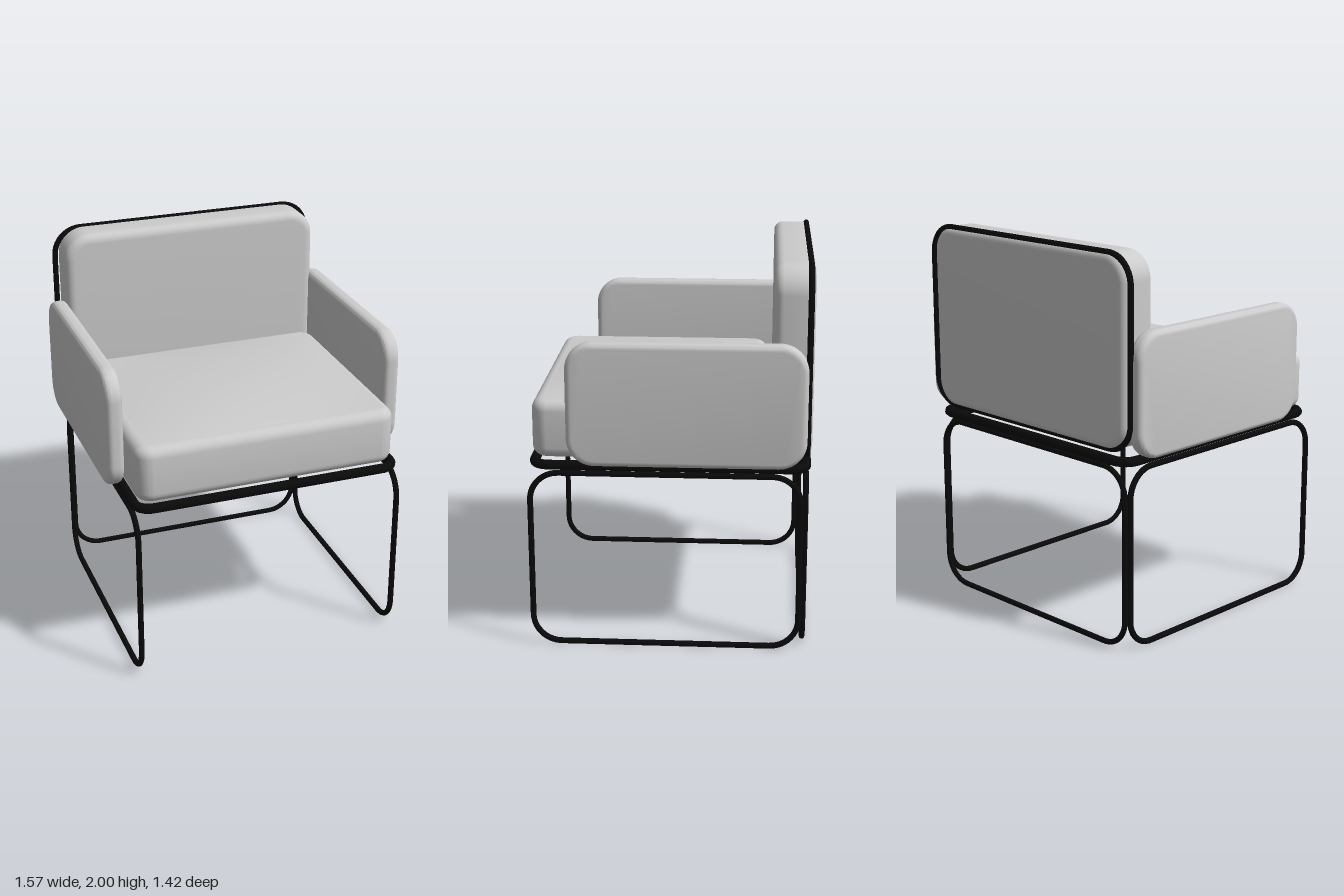
import * as THREE from 'three';
import { toCreasedNormals } from 'three/addons/utils/BufferGeometryUtils.js';

const fabric = new THREE.MeshStandardMaterial({ color: 0xcccccc });
const metal = new THREE.MeshStandardMaterial({ color: 0x0a0a0a });

// Rounded rectangle centred on the origin, w and h being full sizes
function roundedRect(w, h, r) {
  const x = w / 2 - r, y = h / 2 - r, q = Math.PI / 2;
  const s = new THREE.Shape();
  s.absarc(x, y, r, 0, q);
  s.absarc(-x, y, r, q, 2 * q);
  s.absarc(-x, -y, r, 2 * q, 3 * q);
  s.absarc(x, -y, r, 3 * q, 4 * q);
  s.closePath();
  return s;
}

// Padded slab with soft edges, centred, thickness along z
function cushion(name, w, h, depth, radius, bevel) {
  const geo = new THREE.ExtrudeGeometry(roundedRect(w - 2 * bevel, h - 2 * bevel, radius - bevel), {
    depth: depth - 2 * bevel, curveSegments: 8, bevelEnabled: true,
    bevelSize: bevel, bevelThickness: bevel, bevelSegments: 6,
  });
  geo.translate(0, 0, bevel - depth / 2);
  const mesh = new THREE.Mesh(toCreasedNormals(geo, 0.6), fabric);
  mesh.name = name;
  return mesh;
}

// Closed loop of bent tube in the xy plane; w and h are outer sizes
function tubeLoop(name, w, h, radius, tube) {
  const flat = roundedRect(w - 2 * tube, h - 2 * tube, radius - tube).getSpacedPoints(160);
  flat.pop();
  const path = new THREE.CatmullRomCurve3(flat.map(p => new THREE.Vector3(p.x, p.y, 0)), true);
  const mesh = new THREE.Mesh(new THREE.TubeGeometry(path, 200, tube, 12, true), metal);
  mesh.name = name;
  return mesh;
}

export function createModel() {
  const chair = new THREE.Group();
  chair.name = 'armchair';
  const place = (mesh, x, y, z) => {
    mesh.position.set(x, y, z);
    chair.add(mesh);
    return mesh;
  };

  // Leg loops: one on each side and one at the back
  for (const [side, s] of [['left', 1], ['right', -1]]) {
    place(tubeLoop(side + 'LegLoop', 1.39, 0.95, 0.16, 0.015), 0.004 + s * 0.703, 0.475, 0.018)
      .rotation.y = Math.PI / 2;
  }
  place(tubeLoop('backLegLoop', 1.405, 0.95, 0.16, 0.014), 0.004, 0.475, -0.685);

  // Heavier ring under the seat
  place(tubeLoop('seatRing', 1.44, 1.415, 0.1, 0.025), 0.006, 0.975, -0.002)
    .rotation.x = Math.PI / 2;

  // Ring around the backrest
  place(tubeLoop('backRing', 1.487, 0.985, 0.16, 0.015), 0.005, 1.5075, -0.686);

  // Seat cushion with a gently domed top
  place(cushion('seatCushion', 1.38, 1.17, 0.3, 0.085, 0.055), 0, 1.15, 0.105)
    .rotation.x = Math.PI / 2;
  const dome = new THREE.PlaneGeometry(1.25, 1.06, 24, 24).rotateX(-Math.PI / 2);
  const p = dome.attributes.position;
  for (let i = 0; i < p.count; i++) {
    const u = p.getX(i) / 0.625, v = p.getZ(i) / 0.53;
    p.setY(i, 0.044 * (1 - u * u) * (1 - v * v));
  }
  dome.computeVertexNormals();
  const crown = new THREE.Mesh(dome, fabric);
  crown.name = 'seatCrown';
  place(crown, 0, 1.3005, 0.1);

  // Back cushion
  place(cushion('backCushion', 1.42, 0.97, 0.2, 0.14, 0.045), 0.004, 1.505, -0.61);

  // Armrests
  for (const [side, s] of [['left', 1], ['right', -1]]) {
    place(cushion(side + 'Armrest', 1.188, 0.63, 0.085, 0.14, 0.03), s * 0.741, 1.307, -0.09)
      .rotation.y = Math.PI / 2;
  }
  return chair;
}
